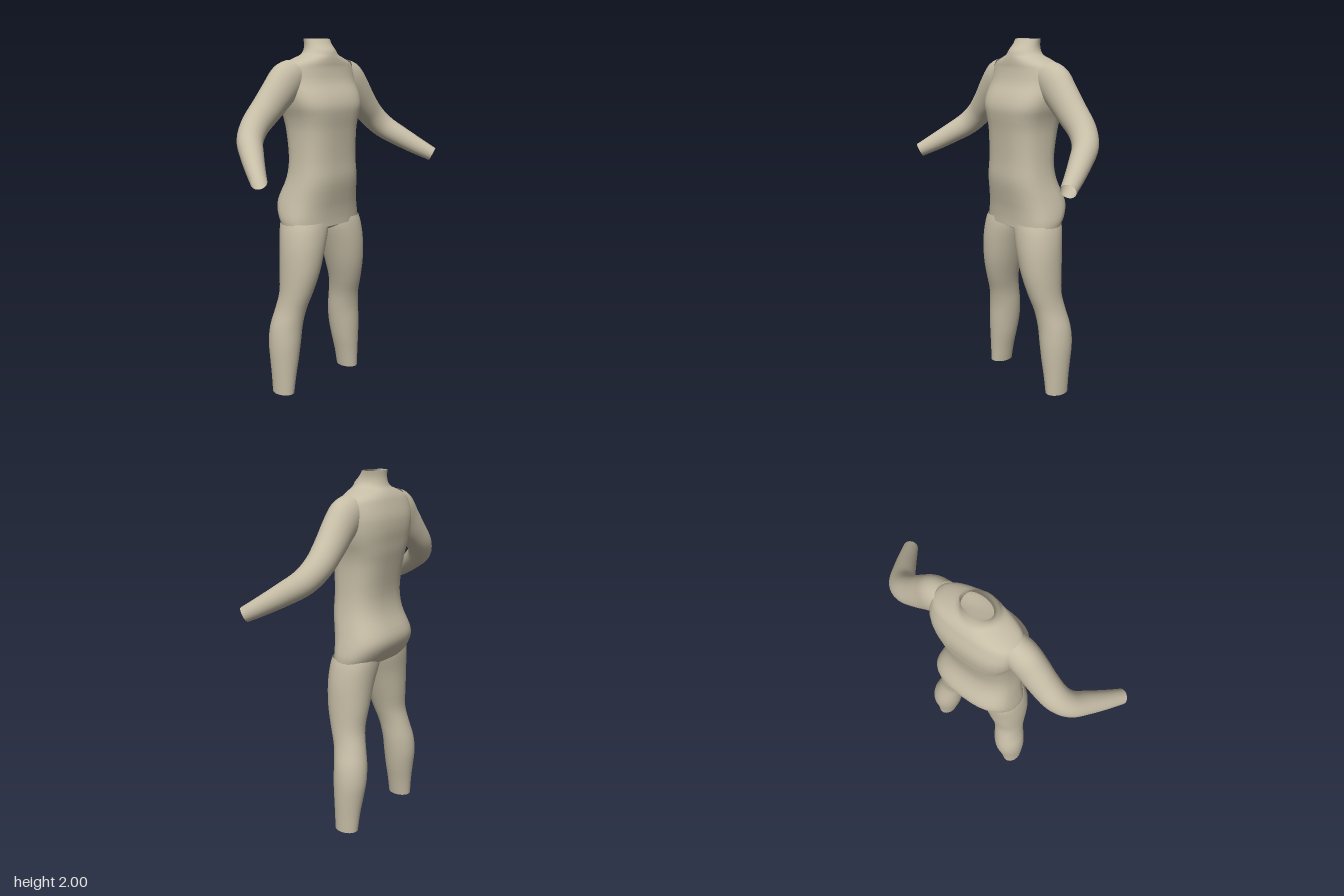
import * as THREE from 'three';

const fabric = new THREE.MeshStandardMaterial({ color: 0xc6bda6, side: THREE.DoubleSide });
fabric.name = 'beige fabric';

const SIDES = 32;
const power = (v, n) => Math.sign(v) * Math.pow(Math.abs(v), 2 / n);

// Smoothly resample a list of equal-length number rows
function resample(rows, steps) {
  const out = [];
  const last = rows.length - 1;
  for (let i = 0; i < last; i++) {
    const [a, b, c, d] = [i - 1, i, i + 1, i + 2].map(k => rows[Math.min(last, Math.max(0, k))]);
    for (let s = 0; s < steps; s++) {
      const t = s / steps;
      out.push(b.map((p, k) => p + 0.5 * t * (c[k] - a[k]
        + t * (2 * a[k] - 5 * p + 4 * c[k] - d[k] + t * (3 * (p - c[k]) + d[k] - a[k])))));
    }
  }
  out.push(rows[last]);
  return out;
}

// Skin closed rings: each has centre c, direction d, side axis u, radii ru/rv, roundness n
function skin(name, rings, capStart = false) {
  const pos = [], idx = [];
  for (const { c, d, u, ru, rv, n } of rings) {
    const v = new THREE.Vector3().crossVectors(u, d).normalize();
    for (let j = 0; j < SIDES; j++) {
      const a = (j / SIDES) * Math.PI * 2;
      const p = c.clone()
        .addScaledVector(u, ru * power(Math.cos(a), n))
        .addScaledVector(v, rv * power(Math.sin(a), n));
      pos.push(p.x, p.y, p.z);
    }
  }
  for (let i = 0; i < rings.length - 1; i++) {
    for (let j = 0; j < SIDES; j++) {
      const a = i * SIDES + j, b = i * SIDES + (j + 1) % SIDES;
      idx.push(a, a + SIDES, b, b, a + SIDES, b + SIDES);
    }
  }
  if (capStart) {
    const first = pos.length / 3;
    pos.push(...pos.slice(0, SIDES * 3));
    const c = rings[0].c;
    pos.push(c.x, c.y, c.z);
    for (let j = 0; j < SIDES; j++) idx.push(first + j, first + (j + 1) % SIDES, first + SIDES);
  }
  const g = new THREE.BufferGeometry();
  g.setAttribute('position', new THREE.Float32BufferAttribute(pos, 3));
  g.setIndex(idx);
  g.computeVertexNormals();
  const mesh = new THREE.Mesh(g, fabric);
  mesh.name = name;
  return mesh;
}

// Horizontal ring from x and z extents
const level = ([y, x0, x1, zBack, zFront, n]) => ({
  c: new THREE.Vector3((x0 + x1) / 2, y, (zBack + zFront) / 2),
  d: new THREE.Vector3(0, 1, 0), u: new THREE.Vector3(1, 0, 0),
  ru: (x1 - x0) / 2, rv: (zFront - zBack) / 2, n,
});

// Torso rows: height, half width, back z, front z, roundness
const TORSO = [
  [0.975, 0.265, -0.185, 0.08, 2.4],
  [1.02, 0.267, -0.215, 0.08, 2.5],
  [1.08, 0.255, -0.242, 0.085, 2.6],
  [1.14, 0.24, -0.238, 0.095, 2.6],
  [1.24, 0.217, -0.195, 0.11, 2.6],
  [1.35, 0.205, -0.18, 0.106, 2.6],
  [1.5, 0.205, -0.2, 0.11, 2.7],
  [1.58, 0.218, -0.214, 0.118, 2.8],
  [1.64, 0.238, -0.22, 0.12, 2.8],
  [1.7, 0.25, -0.226, 0.1, 2.7],
  [1.77, 0.253, -0.222, 0.06, 2.6],
  [1.84, 0.25, -0.2, 0.042, 2.4],
  [1.87, 0.225, -0.188, 0.04, 2.3],
  [1.895, 0.165, -0.172, 0.038, 2.2],
  [1.915, 0.115, -0.155, 0.034, 2],
  [1.94, 0.095, -0.144, 0.024, 2],
  [1.97, 0.088, -0.137, -0.005, 2],
  [2.0, 0.09, -0.135, -0.028, 2],
];

// Leg rows: height, inner x, outer x, back z, front z, roundness
const LEG = [
  [0, 0.225, 0.333, -0.16, -0.02, 2],
  [0.1, 0.206, 0.338, -0.168, -0.015, 2],
  [0.2, 0.183, 0.343, -0.182, -0.008, 2],
  [0.3, 0.166, 0.345, -0.195, -0.002, 2],
  [0.4, 0.153, 0.335, -0.19, 0.002, 2],
  [0.5, 0.143, 0.308, -0.168, 0.018, 2.1],
  [0.6, 0.118, 0.296, -0.15, 0.05, 2.1],
  [0.72, 0.08, 0.294, -0.16, 0.078, 2.1],
  [0.85, 0.04, 0.29, -0.17, 0.088, 2.1],
  [0.95, 0.008, 0.276, -0.182, 0.082, 2.2],
  [1.0, 0.004, 0.262, -0.185, 0.072, 2.2],
];

// Arm rows from cuff to shoulder: x, y, z, radius across, radius in depth
const ARM = [
  [0.715, 1.318, 0.215, 0.041, 0.041],
  [0.665, 1.366, 0.135, 0.052, 0.05],
  [0.605, 1.425, 0.045, 0.062, 0.06],
  [0.545, 1.485, -0.035, 0.07, 0.068],
  [0.475, 1.555, -0.072, 0.076, 0.073],
  [0.39, 1.635, -0.074, 0.086, 0.077],
  [0.315, 1.712, -0.07, 0.097, 0.08],
  [0.25, 1.775, -0.07, 0.104, 0.082],
  [0.19, 1.815, -0.07, 0.085, 0.075],
];

function arm(name, side) {
  const rows = resample(ARM, 4);
  const points = rows.map(r => new THREE.Vector3(side * r[0], r[1], r[2]));
  const rings = rows.map((r, i) => {
    const d = points[Math.min(i + 1, points.length - 1)].clone()
      .sub(points[Math.max(i - 1, 0)]).normalize();
    const u = new THREE.Vector3().crossVectors(d, new THREE.Vector3(0, 0, 1)).normalize();
    return { c: points[i], d, u, ru: r[3], rv: r[4], n: 2 };
  });
  return skin(name, rings);
}

export function createModel() {
  const model = new THREE.Group();
  model.name = 'bodysuit';

  // Torso with open collar and closed hem
  const torso = resample(TORSO, 3).map(([y, w, zb, zf, n]) => level([y, -w, w, zb, zf, n]));
  model.add(skin('torso', torso, true));

  // Small gusset between the legs
  const gusset = [[0.945, 0.03, -0.1, 0.02, 2], [0.965, 0.1, -0.15, 0.06, 2], [0.985, 0.15, -0.17, 0.07, 2]];
  model.add(skin('crotchGusset', gusset.map(([y, w, zb, zf, n]) => level([y, -w, w, zb, zf, n])), true));

  // Sleeves and trouser legs, open at the cuffs
  for (const [label, s] of [['left', 1], ['right', -1]]) {
    model.add(arm(label + 'Sleeve', s));
    const leg = resample(LEG, 3).map(([y, xi, xo, zb, zf, n]) =>
      level([y, s > 0 ? xi : -xo, s > 0 ? xo : -xi, zb, zf, n]));
    model.add(skin(label + 'Leg', leg));
  }
  return model;
}
